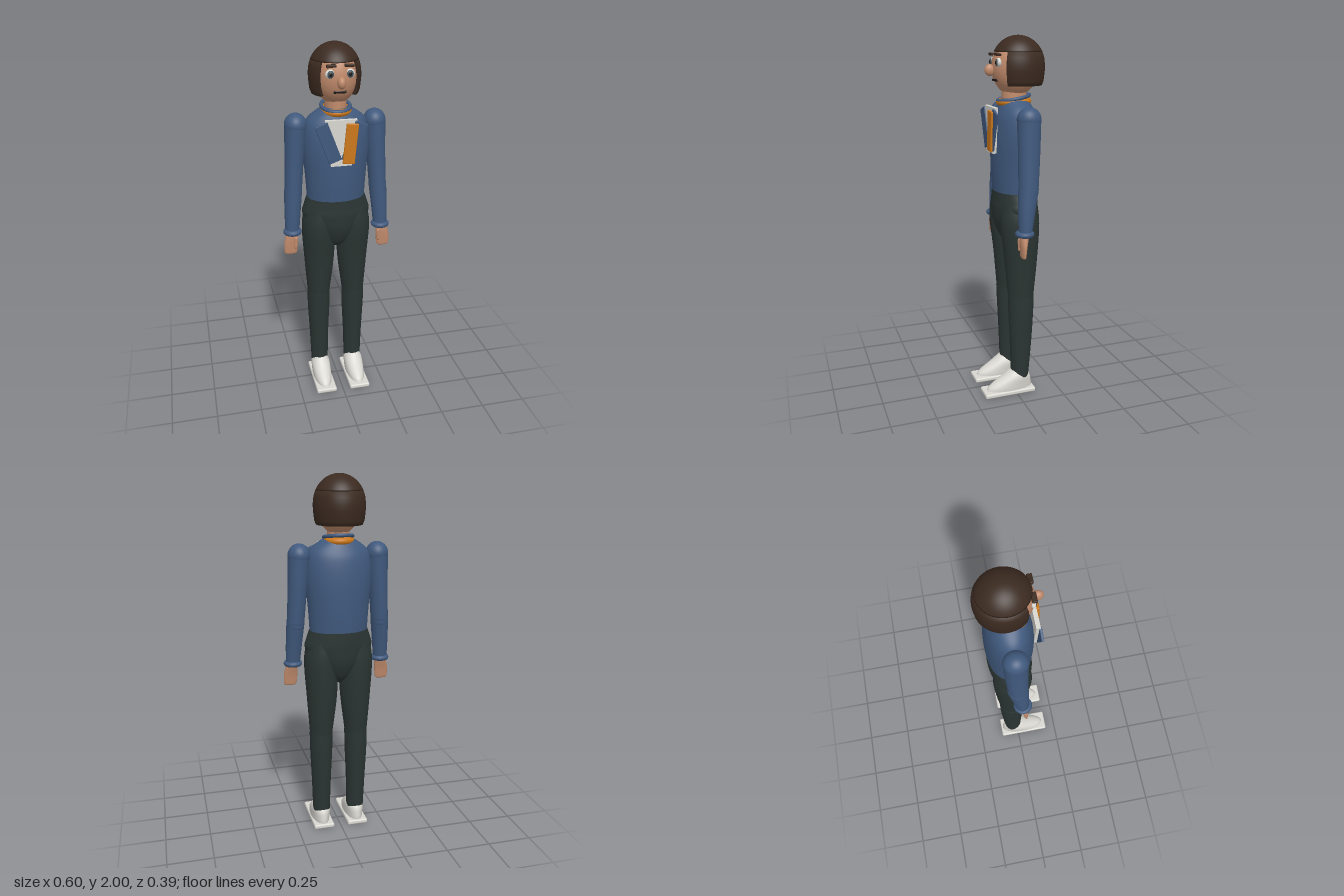
import * as THREE from 'three';
import { RoundedBoxGeometry } from 'three/addons/geometries/RoundedBoxGeometry.js';

const mat = (name, color, side = THREE.FrontSide) => {
  const m = new THREE.MeshStandardMaterial({ color, side });
  m.name = name;
  return m;
};

// Smooth body from elliptical sections, bottom to top: [y, centreX, centreZ, radiusX, radiusZ]
function loft(sections, steps = 6, sides = 40) {
  const centres = new THREE.CatmullRomCurve3(
    sections.map(([y, x, z]) => new THREE.Vector3(x, y, z)), false, 'catmullrom');
  const radii = new THREE.CatmullRomCurve3(
    sections.map((s) => new THREE.Vector3(s[3], 0, s[4])), false, 'catmullrom');
  const n = (sections.length - 1) * steps;
  const pos = [], idx = [];
  const ring = (t) => {
    const c = centres.getPoint(t), r = radii.getPoint(t), start = pos.length / 3;
    for (let j = 0; j < sides; j++) {
      const a = (j / sides) * Math.PI * 2;
      pos.push(c.x + r.x * Math.cos(a), c.y, c.z + r.z * Math.sin(a));
    }
    return start;
  };
  for (let i = 0; i <= n; i++) ring(i / n);
  for (let i = 0; i < n; i++) for (let j = 0; j < sides; j++) {
    const k = (j + 1) % sides, a = i * sides, b = a + sides;
    idx.push(a + j, b + j, a + k, a + k, b + j, b + k);
  }
  // flat end caps
  for (const t of [0, 1]) {
    const start = ring(t), c = centres.getPoint(t), mid = pos.length / 3;
    pos.push(c.x, c.y, c.z);
    for (let j = 0; j < sides; j++) {
      const p = start + j, q = start + (j + 1) % sides;
      idx.push(mid, t ? q : p, t ? p : q);
    }
  }
  const g = new THREE.BufferGeometry();
  g.setAttribute('position', new THREE.Float32BufferAttribute(pos, 3));
  g.setIndex(idx);
  g.computeVertexNormals();
  return g;
}

export function createModel() {
  const model = new THREE.Group();
  model.name = 'standingFigure';
  const hair = mat('dark brown hair', 0x3b2a20, THREE.DoubleSide);
  const skin = mat('skin', 0xc08a6b);
  const blue = mat('blue cloth', 0x40597d);
  const orange = mat('orange cloth', 0xcc781a);
  const dark = mat('dark trousers', 0x2b3533);
  const white = mat('off white', 0xd9d7d1);
  const iris = mat('grey iris', 0x47545c);
  const black = mat('near black', 0x1c1616);

  const add = (name, geo, material, x = 0, y = 0, z = 0) => {
    const m = new THREE.Mesh(geo, material);
    m.name = name;
    m.position.set(x, y, z);
    model.add(m);
    return m;
  };
  const ball = (name, material, x, y, z, rx, ry, rz) => {
    const m = add(name, new THREE.SphereGeometry(1, 40, 28), material, x, y, z);
    m.scale.set(rx, ry, rz);
    return m;
  };

  // Torso, pelvis and neck
  add('torso', loft([
    [1.17, 0, -0.033, 0.159, 0.118], [1.3, 0, -0.033, 0.167, 0.126],
    [1.45, 0, -0.033, 0.18, 0.127], [1.56, 0, -0.033, 0.174, 0.115],
    [1.62, 0, -0.032, 0.148, 0.095], [1.675, 0, -0.03, 0.07, 0.07],
  ]), blue);
  add('pelvis', loft([
    [0.88, 0, -0.03, 0.03, 0.035], [0.92, 0, -0.03, 0.075, 0.08],
    [1.0, 0, -0.03, 0.145, 0.113], [1.08, 0, -0.03, 0.187, 0.121],
    [1.13, 0, -0.032, 0.178, 0.121], [1.178, 0, -0.033, 0.162, 0.12],
  ]), dark);
  add('neck', loft([[1.6, 0, -0.03, 0.06, 0.07], [1.76, 0, -0.03, 0.056, 0.068]]), skin);

  // Collar rings
  const collar = (name, material, y, r, tube, tilt) => {
    const g = new THREE.TorusGeometry(r, tube, 16, 48).rotateX(Math.PI / 2).scale(1, 1, 1.13);
    add(name, g, material, 0, y, -0.028).rotation.x = tilt;
  };
  collar('neckScarf', orange, 1.657, 0.066, 0.019, 0.03);
  collar('collarBand', blue, 1.677, 0.075, 0.01, 0.17);

  // Shirt panel, lapels and hanging tie
  const panel = new THREE.Shape([[-0.055, 1.39], [0.055, 1.39], [0.084, 1.635], [-0.084, 1.635]]
    .map(([x, y]) => new THREE.Vector2(x, y)));
  add('shirtPanel', new THREE.ExtrudeGeometry(panel, { depth: 0.022, bevelEnabled: false }),
    white, 0, 0, 0.088);
  for (const s of [-1, 1]) {
    add('lapel', new RoundedBoxGeometry(0.07, 0.215, 0.013, 2, 0.003), blue,
      s * 0.069, 1.517, 0.11).rotation.z = -s * 0.36;
  }
  add('tie', new RoundedBoxGeometry(0.064, 0.215, 0.014, 3, 0.005), orange,
    0.046, 1.51, 0.12).rotation.z = -0.1;

  for (const s of [-1, 1]) {
    // Arms
    ball('shoulder', blue, s * 0.213, 1.585, -0.035, 0.06, 0.062, 0.064);
    add('upperArm', loft([
      [1.21, s * 0.237, -0.025, 0.047, 0.053], [1.4, s * 0.225, -0.032, 0.051, 0.058],
      [1.585, s * 0.213, -0.035, 0.059, 0.063],
    ]), blue);
    ball('elbow', blue, s * 0.237, 1.21, -0.025, 0.047, 0.045, 0.053);
    add('forearm', loft([
      [0.98, s * 0.251, -0.003, 0.038, 0.034], [1.1, s * 0.245, -0.013, 0.044, 0.045],
      [1.23, s * 0.236, -0.026, 0.049, 0.055],
    ]), blue);
    add('cuff', new THREE.TorusGeometry(0.036, 0.015, 14, 36).rotateX(Math.PI / 2),
      blue, s * 0.25, 0.99, -0.001);
    add('hand', loft([
      [0.862, s * 0.264, 0.012, 0.026, 0.008], [0.872, s * 0.264, 0.012, 0.035, 0.012],
      [0.92, s * 0.262, 0.01, 0.038, 0.017], [0.96, s * 0.258, 0.006, 0.034, 0.022],
      [1.0, s * 0.252, 0, 0.028, 0.024],
    ]), skin);
    add('thumb', new THREE.CapsuleGeometry(0.01, 0.05, 8, 16), skin,
      s * 0.236, 0.93, 0.022).rotation.z = s * 0.05;

    // Legs
    add('thigh', loft([
      [0.56, s * 0.102, -0.035, 0.061, 0.07], [0.8, s * 0.096, -0.036, 0.084, 0.092],
      [1.0, s * 0.098, -0.03, 0.093, 0.108], [1.12, s * 0.088, -0.03, 0.085, 0.1],
    ]), dark);
    add('shin', loft([
      [0.09, s * 0.101, -0.03, 0.049, 0.05], [0.3, s * 0.102, -0.035, 0.055, 0.062],
      [0.48, s * 0.102, -0.036, 0.063, 0.071], [0.58, s * 0.102, -0.035, 0.064, 0.074],
    ]), dark);

    // Shoes
    add('shoeUpper', loft([
      [0.02, s * 0.101, 0.036, 0.052, 0.136], [0.05, s * 0.101, 0.026, 0.054, 0.125],
      [0.1, s * 0.101, -0.006, 0.053, 0.08], [0.137, s * 0.101, -0.008, 0.035, 0.034],
    ]), white);
    add('sole', new RoundedBoxGeometry(0.118, 0.026, 0.3, 4, 0.009), white, s * 0.1, 0.013, 0.04);

    // Eyes and brows
    ball('eyeWhite', white, s * 0.05, 1.862, 0.073, 0.026, 0.024, 0.014);
    ball('iris', iris, s * 0.05, 1.862, 0.081, 0.018, 0.019, 0.009);
    ball('pupil', black, s * 0.05, 1.862, 0.087, 0.009, 0.01, 0.005);
    add('brow', new RoundedBoxGeometry(0.05, 0.014, 0.026, 2, 0.004), hair,
      s * 0.046, 1.903, 0.077).rotation.z = -s * 0.06;
  }

  // Head, nose and mouth
  ball('head', skin, 0, 1.835, -0.035, 0.114, 0.15, 0.127);
  ball('nose', skin, 0, 1.822, 0.105, 0.021, 0.031, 0.028);
  add('mouth', new RoundedBoxGeometry(0.066, 0.013, 0.016, 2, 0.004), black, 0, 1.771, 0.074);

  // Bobbed hair: a dome over a lower shell that is open at the face
  const dome = [];
  for (let i = 0; i <= 20; i++) {
    const a = Math.asin(0.065 / 0.15) * (1 - i / 20) + (Math.PI / 2) * (i / 20);
    dome.push(new THREE.Vector2(Math.max(0, 0.137 * Math.cos(a)), 0.15 * Math.sin(a)));
  }
  dome.unshift(new THREE.Vector2(0.1, 0.067));
  const crown = add('hairCrown', new THREE.LatheGeometry(dome, 56), hair, 0, 1.85, -0.052);
  crown.scale.z = 1.045;
  const side = [[0.1, -0.107], [0.122, -0.108], [0.131, -0.085], [0.137, -0.03], [0.137, 0],
    [0.133, 0.035], [0.1235, 0.065], [0.1, 0.067], [0.1, -0.107]]
    .map(([r, y]) => new THREE.Vector2(r, y));
  const open = 0.81;
  const bob = add('hairBob', new THREE.LatheGeometry(side, 56, open, Math.PI * 2 - open * 2),
    hair, 0, 1.85, -0.052);
  bob.scale.z = 1.045;
  for (const s of [-1, 1]) {
    const edge = new THREE.ShapeGeometry(new THREE.Shape(side)).rotateY(s * open - Math.PI / 2);
    add('hairFrontEdge', edge, hair, 0, 1.85, -0.052).scale.z = 1.045;
  }
  return model;
}
